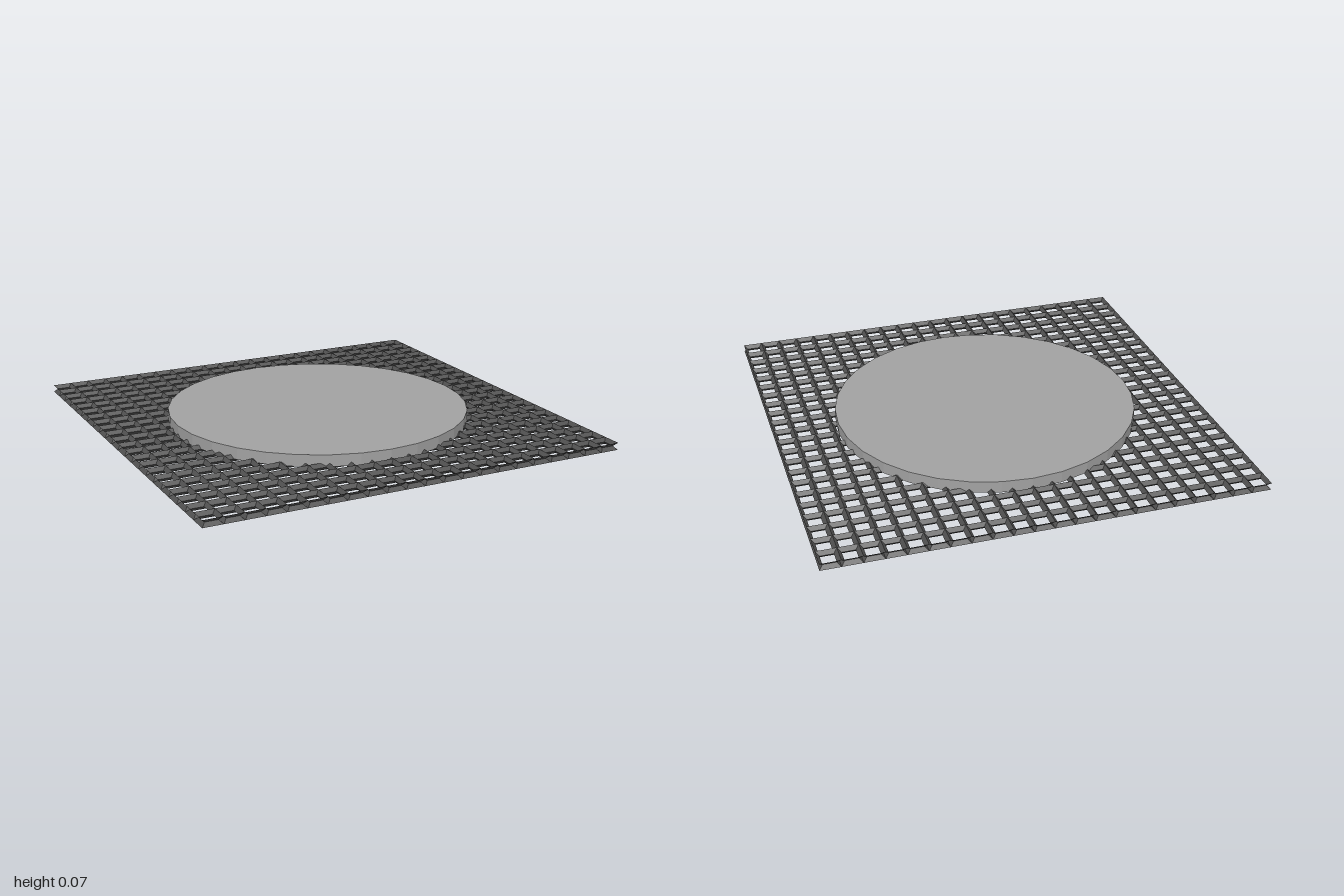
import * as THREE from 'three';
import { mergeGeometries } from 'three/addons/utils/BufferGeometryUtils.js';

const CELLS = 22;            // openings per side
const PITCH = 2 / CELLS;     // spacing of the bars
const HALF_BAR = 0.016;      // half the width of a bar
const MESH_H = 0.033;        // height of the bars
const DISC_R = 0.71;
const DISC_TOP = 0.071;

// Four-sided mitred wall around one opening; neighbours form hollow diamond bars
function cellWall() {
  const outer = (PITCH / 2) * Math.SQRT2;
  const inner = (PITCH / 2 - HALF_BAR) * Math.SQRT2;
  const profile = [
    new THREE.Vector2(outer, MESH_H),
    new THREE.Vector2(inner, MESH_H / 2),
    new THREE.Vector2(outer, 0),
  ];
  return new THREE.LatheGeometry(profile, 4, Math.PI / 4);
}

export function createModel() {
  const model = new THREE.Group();
  model.name = 'discOnGrating';

  // Square grating
  const wall = cellWall();
  const cells = [];
  for (let i = 0; i < CELLS; i++) {
    for (let j = 0; j < CELLS; j++) {
      cells.push(wall.clone().translate(-1 + (i + 0.5) * PITCH, 0, -1 + (j + 0.5) * PITCH));
    }
  }
  const grating = new THREE.Mesh(
    mergeGeometries(cells),
    new THREE.MeshStandardMaterial({ color: 0x505050, flatShading: true, side: THREE.DoubleSide })
  );
  grating.name = 'grating';
  model.add(grating);

  // Round plate, sunk halfway into the grating
  const bottom = MESH_H / 2;
  const disc = new THREE.Mesh(
    new THREE.CylinderGeometry(DISC_R, DISC_R, DISC_TOP - bottom, 32),
    new THREE.MeshStandardMaterial({ color: 0xa2a2a2, flatShading: true })
  );
  disc.position.y = (DISC_TOP + bottom) / 2;
  disc.name = 'disc';
  model.add(disc);

  return model;
}
